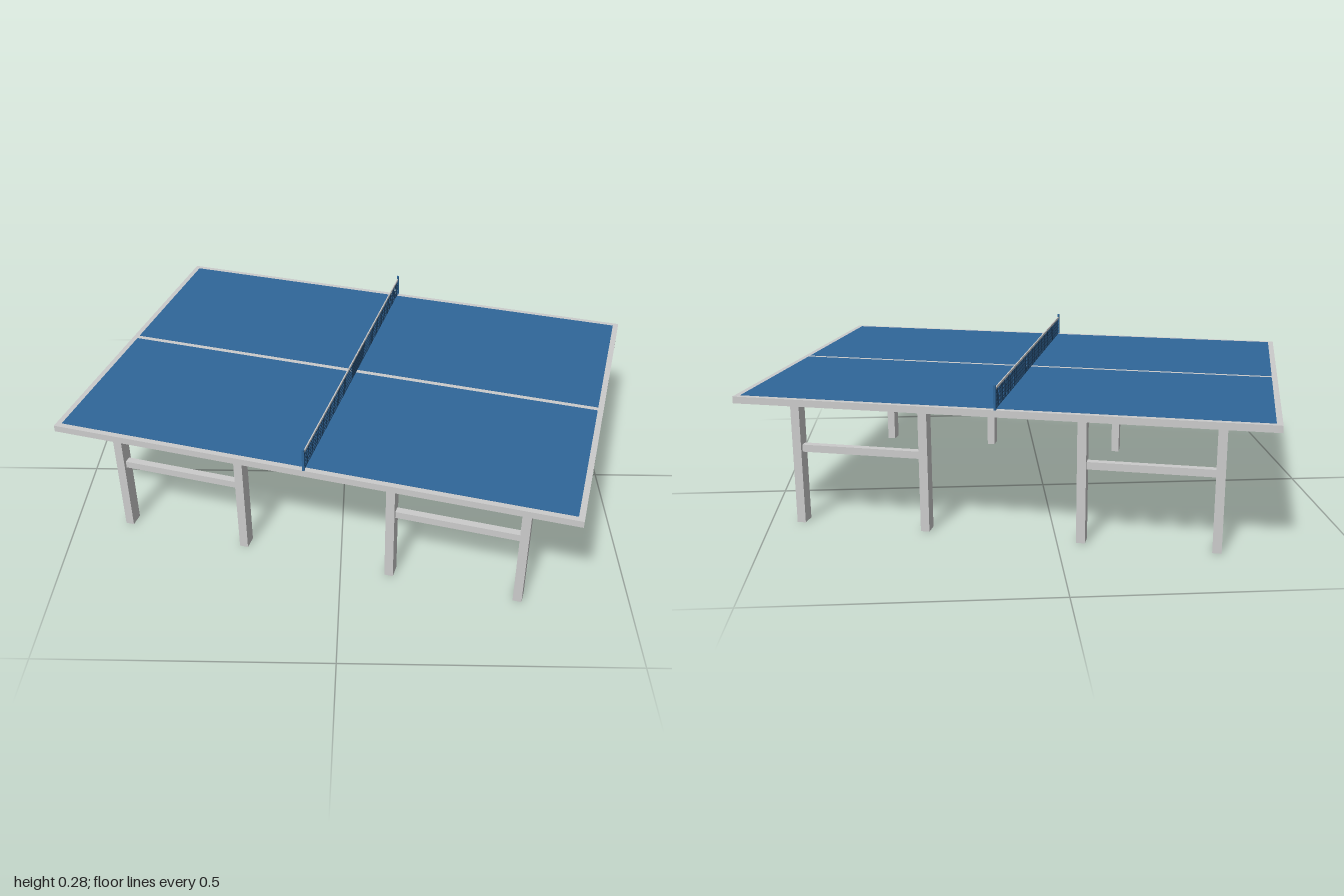
import * as THREE from 'three';
import { mergeGeometries } from 'three/addons/utils/BufferGeometryUtils.js';

const L = 0.914, W = 0.628;            // table top length and width
const TOP = 0.24, UNDER = 0.228;       // upper and lower face of the top
const RIM = 0.01, LINE = 0.01;         // painted border and centre line

const grey = new THREE.MeshStandardMaterial({ color: 0xcccccc });
const blue = new THREE.MeshStandardMaterial({ color: 0x2f6699 });
const navy = new THREE.MeshStandardMaterial({ color: 0x1d3f60 });

// Box geometry given by its size and centre
function boxGeo(w, h, d, x, y, z) {
  return new THREE.BoxGeometry(w, h, d).translate(x, y, z);
}

function addPart(parent, name, geometry, material) {
  const mesh = new THREE.Mesh(geometry, material);
  mesh.name = name;
  parent.add(mesh);
}

// Two legs joined by a cross rail
function makeLegFrame(side, end) {
  const frame = new THREE.Group();
  frame.name = 'legFrame';
  const z = side * 0.256, inner = 0.137, outer = 0.366;
  for (const x of [inner, outer]) {
    addPart(frame, 'leg', boxGeo(0.0155, UNDER, 0.0255, end * x, UNDER / 2, z), grey);
  }
  addPart(frame, 'crossRail',
    boxGeo(outer - inner - 0.0155, 0.013, 0.013, end * (inner + outer) / 2, 0.1375, z), grey);
  return frame;
}

// Net of thin cords, with a top band and two posts
function makeNet() {
  const net = new THREE.Group();
  net.name = 'net';
  const half = 0.312, bandY = 0.2735, cord = 0.0011, columns = 92, rows = 5;
  const cords = [];
  for (let i = 1; i < columns; i++) {
    const z = -half + (2 * half * i) / columns;
    cords.push(boxGeo(cord, bandY - TOP, cord, 0, (bandY + TOP) / 2, z));
  }
  for (let j = 0; j < rows; j++) {
    const y = TOP + 0.001 + ((bandY - TOP) * j) / rows;
    cords.push(boxGeo(cord, cord, 2 * half, 0, y, 0));
  }
  addPart(net, 'netCords', mergeGeometries(cords), navy);
  addPart(net, 'netBand', boxGeo(0.002, 0.004, 2 * half, 0, bandY + 0.0015, 0), grey);
  for (const s of [-1, 1]) {
    addPart(net, 'netPost', boxGeo(0.004, 0.042, 0.004, 0, TOP + 0.021, s * half), blue);
  }
  return net;
}

export function createModel() {
  const model = new THREE.Group();
  const table = new THREE.Group();
  table.name = 'table';

  // Table top: pale slab showing as border and centre line around blue fields
  addPart(table, 'tableTop', boxGeo(L, TOP - UNDER, W, 0, (TOP + UNDER) / 2, 0), grey);
  const fieldW = W / 2 - RIM - LINE / 2;
  for (const s of [-1, 1]) {
    addPart(table, 'playingField',
      boxGeo(L - 2 * RIM, 0.001, fieldW, 0, TOP, s * (LINE / 2 + fieldW / 2)), blue);
  }

  // Four leg frames
  for (const side of [-1, 1]) {
    for (const end of [-1, 1]) table.add(makeLegFrame(side, end));
  }
  table.add(makeNet());

  // The table stands turned and off to one side
  table.rotation.y = -Math.PI / 12;
  table.position.x = -0.477;
  model.add(table);
  return model;
}
